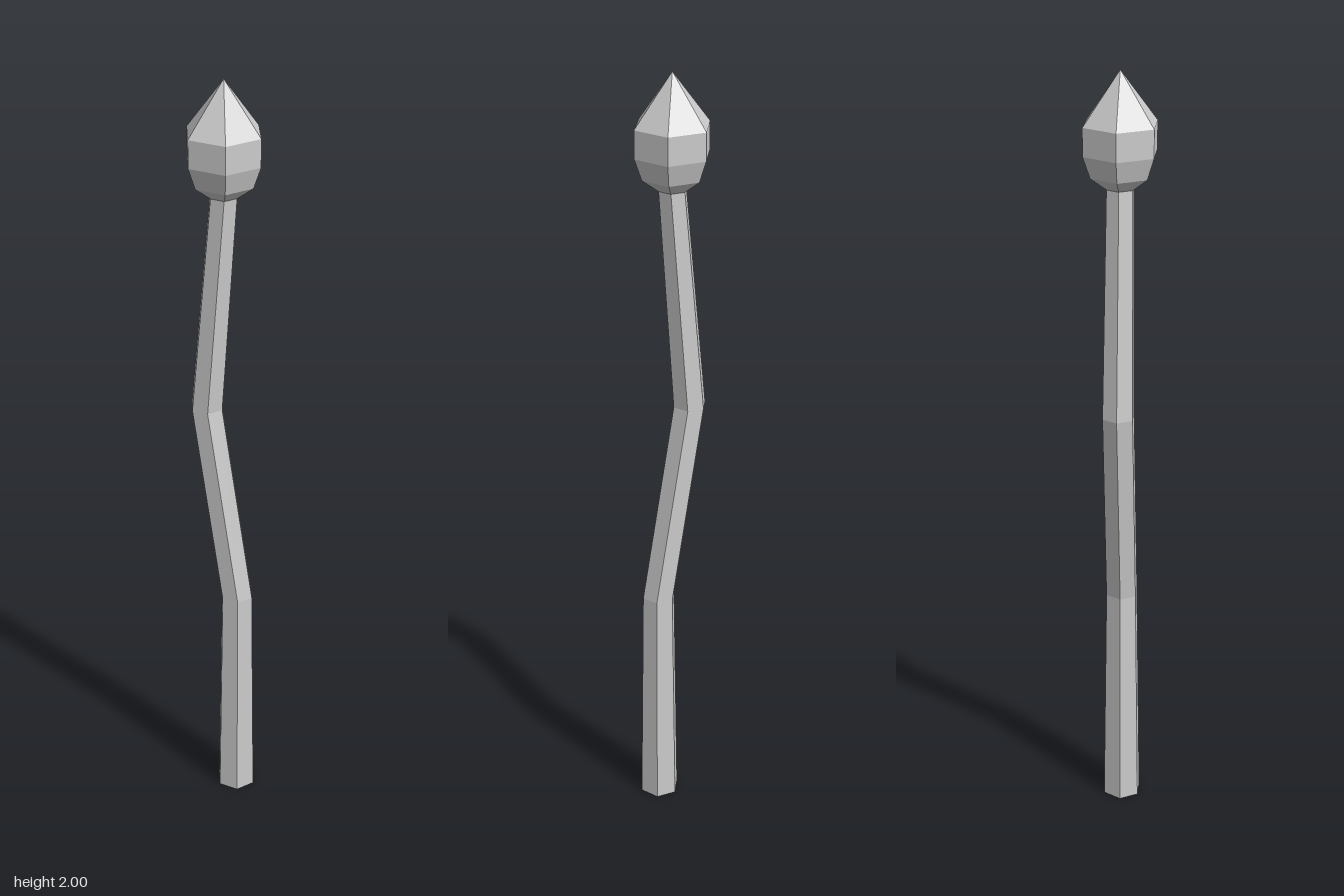
import * as THREE from 'three';

export function createModel() {
  const group = new THREE.Group();
  const material = new THREE.MeshStandardMaterial({ color: 0xcccccc, flatShading: true });

  // Bent hexagonal shaft: rings from top to bottom as [x, y, radius]
  const rings = [
    [0, 1.725, 0.036],
    [-0.047, 1.15, 0.043],
    [0.039, 0.615, 0.044],
    [0.039, 0, 0.053],
  ];
  const last = rings.length - 1;
  const shaftGeometry = new THREE.CylinderGeometry(1, 1, last, 6, last, false, Math.PI / 6);
  const pos = shaftGeometry.attributes.position;
  for (let i = 0; i < pos.count; i++) {
    const [x, y, r] = rings[Math.round(last / 2 - pos.getY(i))];
    pos.setXYZ(i, x + pos.getX(i) * r, y, pos.getZ(i) * r);
  }
  shaftGeometry.computeVertexNormals();
  const shaft = new THREE.Mesh(shaftGeometry, material);
  shaft.name = 'shaft';
  group.add(shaft);

  // Pointed six-sided bud, profile from bottom to tip
  const profile = [[0, 1.718], [0.036, 1.718], [0.078, 1.75], [0.097, 1.804], [0.097, 1.873], [0, 2]];
  const bud = new THREE.Mesh(
    new THREE.LatheGeometry(profile.map(([r, y]) => new THREE.Vector2(r, y)), 6, Math.PI / 6),
    material
  );
  bud.name = 'budTip';
  group.add(bud);

  return group;
}
